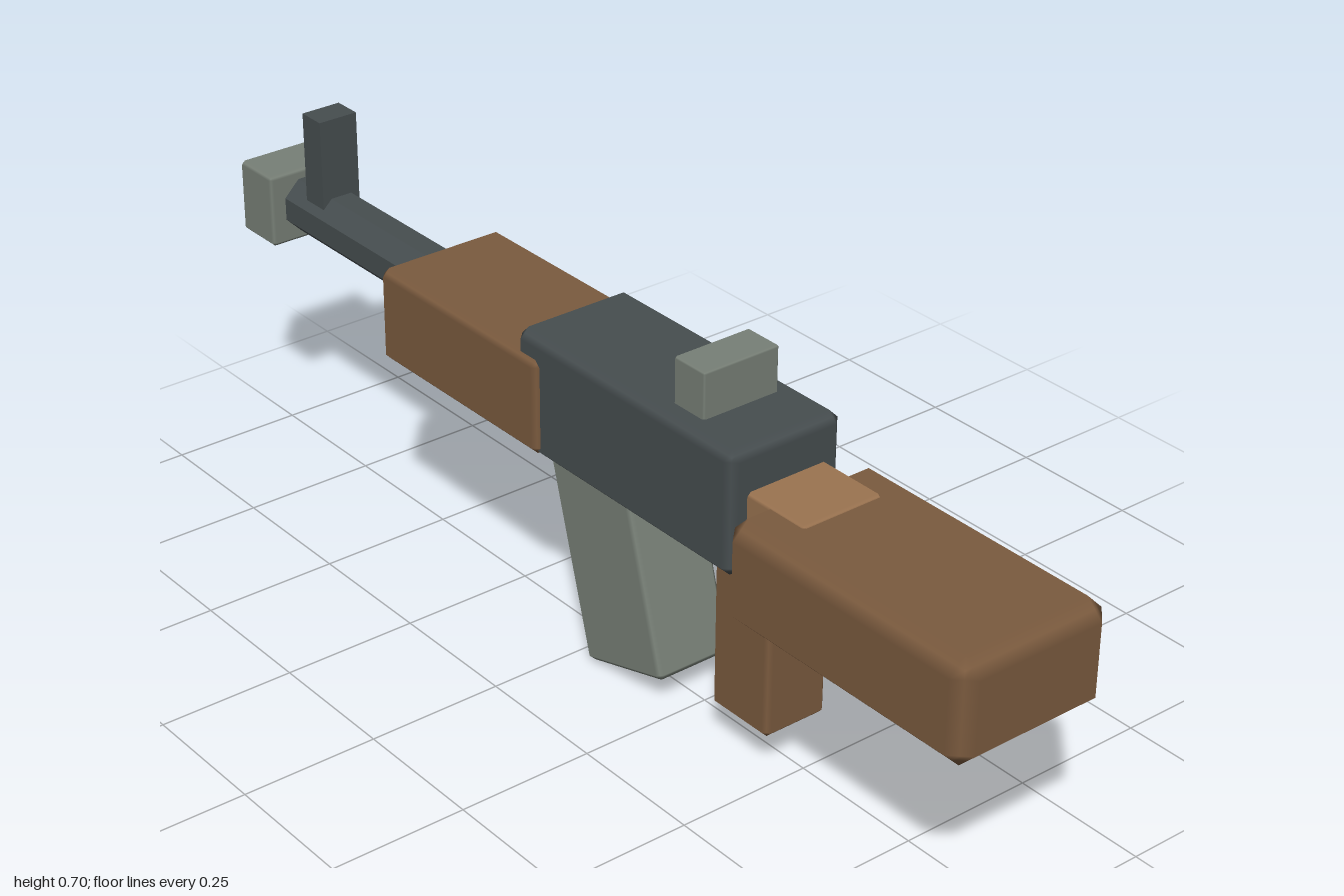
import * as THREE from 'three';
import { RoundedBoxGeometry } from 'three/addons/geometries/RoundedBoxGeometry.js';

const material = (name, color) => {
  const m = new THREE.MeshStandardMaterial({ color });
  m.name = name;
  return m;
};

// Box with flat 45 degree chamfers and softly shaded edges
function chamferBox(w, h, d, r) {
  const geo = new RoundedBoxGeometry(w, h, d, 1, r);
  const pos = geo.attributes.position, nor = geo.attributes.normal;
  const p = new THREE.Vector3(), n = new THREE.Vector3();
  for (let i = 0; i < pos.count; i++) {
    p.fromBufferAttribute(pos, i);
    n.fromBufferAttribute(nor, i);
    p.addScaledVector(n, r / n.manhattanLength() - r);
    pos.setXYZ(i, p.x, p.y, p.z);
  }
  return geo;
}

export function createModel() {
  const model = new THREE.Group();
  const wood = material('wood', 0x7a5a3e);
  const paleWood = material('paleWood', 0x9a7350);
  const darkMetal = material('darkMetal', 0x464d4f);
  const greyMetal = material('greyMetal', 0x777f76);

  const add = (name, geo, mat, x = 0, y = 0, z = 0) => {
    const mesh = new THREE.Mesh(geo, mat);
    mesh.name = name;
    mesh.position.set(x, y, z);
    model.add(mesh);
    return mesh;
  };

  // Box given by half width and its y and z limits
  const block = (name, mat, hw, y0, y1, z0, z1, r) => add(
    name,
    r ? chamferBox(hw * 2, y1 - y0, z1 - z0, r) : new THREE.BoxGeometry(hw * 2, y1 - y0, z1 - z0),
    mat, 0, (y0 + y1) / 2, (z0 + z1) / 2,
  );

  // Wooden parts
  block('stock', wood, 0.155, 0.325, 0.52, 0.46, 1.0, 0.032);
  block('stockJoint', paleWood, 0.082, 0.375, 0.525, 0.40, 0.572, 0.007);
  block('grip', wood, 0.065, 0.075, 0.40, 0.34, 0.48, 0.011);
  block('handguard', wood, 0.128, 0.386, 0.565, -0.488, -0.04, 0.014);

  // Body and barrel
  block('receiver', darkMetal, 0.117, 0.375, 0.602, -0.112, 0.44, 0.018);
  const barrelGeo = new THREE.CylinderGeometry(0.056, 0.056, 0.5, 8).toNonIndexed();
  barrelGeo.rotateY(Math.PI / 8).rotateX(Math.PI / 2);
  barrelGeo.computeVertexNormals();
  add('barrel', barrelGeo, darkMetal, 0, 0.5, -0.69);
  block('muzzle', greyMetal, 0.082, 0.43, 0.57, -1.0, -0.898, 0.007);

  // Sights
  block('frontSight', darkMetal, 0.039, 0.5, 0.705, -0.845, -0.79);
  block('rearSight', greyMetal, 0.077, 0.58, 0.685, 0.252, 0.327, 0.004);

  // Slanted magazine
  const magazineGeo = chamferBox(0.154, 0.44, 0.206, 0.01);
  magazineGeo.translate(0, 0.22, 0);
  add('magazine', magazineGeo, greyMetal, 0, 0.031, 0.128).rotation.x = -0.28;

  return model;
}
